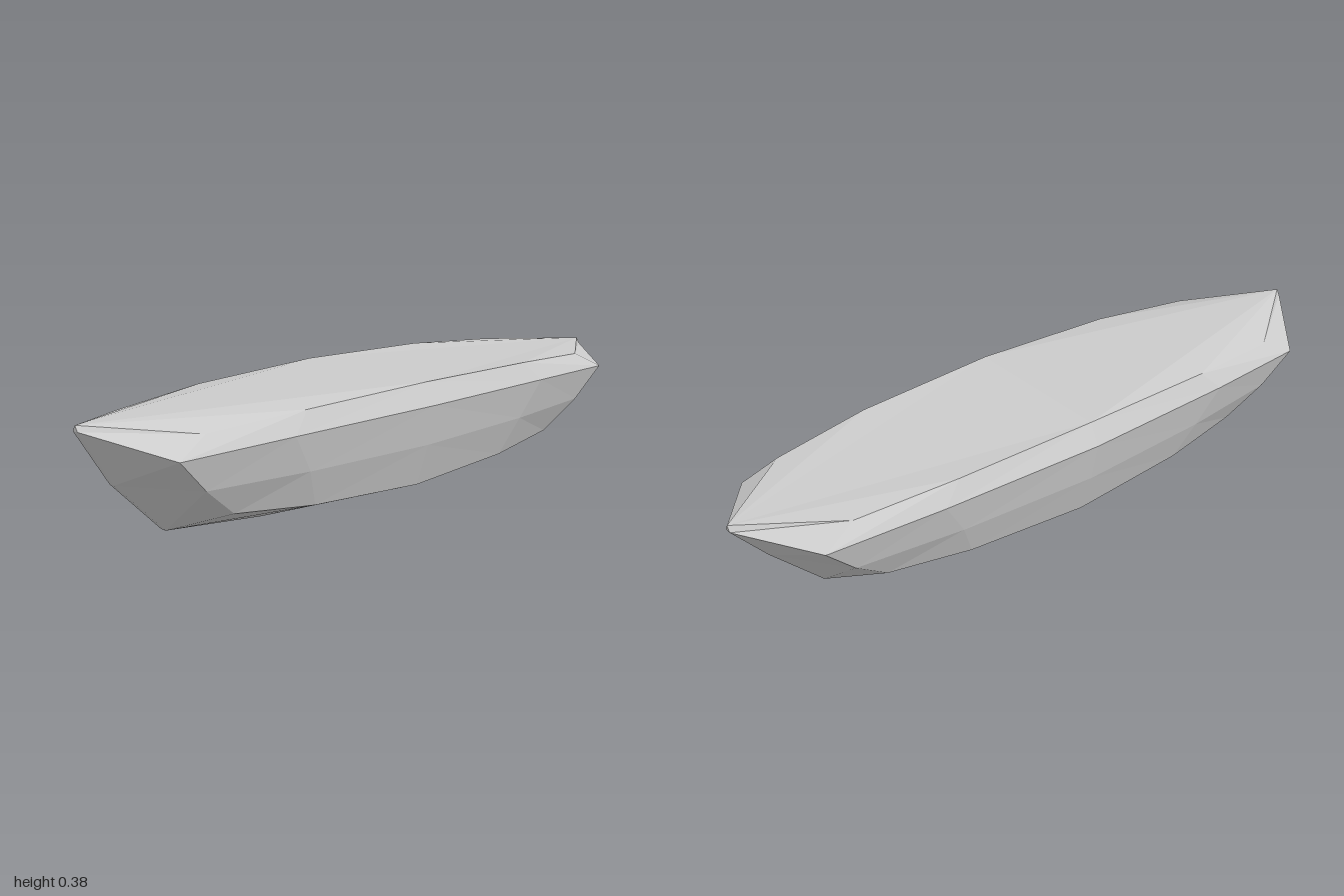
import * as THREE from 'three';

// Half-width, height and length of each longitudinal line at its end corner, quarter and middle
const lines = {
  keel: [[0.01, 0.052, 0.745], [0.01, 0.02, 0.42], [0.01, 0, 0]],
  chine: [[0.157, 0.106, 0.635], [0.188, 0.082, 0.38], [0.205, 0.066, 0]],
  side: [[0.19, 0.196, 0.75], [0.225, 0.192, 0.43], [0.247, 0.19, 0]],
  rail: [[0.21, 0.292, 0.845], [0.248, 0.303, 0.5], [0.272, 0.308, 0]],
  rim: [[0.187, 0.342, 0.745], [0.225, 0.361, 0.44], [0.241, 0.371, 0]],
};
// Where each line ends at the bow and at the stern
const tips = {
  keel: [[0.01, 0.052, 0.745], [0.01, 0.052, -0.745]],
  chine: [[0.01, 0.052, 0.745], [0.01, 0.052, -0.745]],
  side: [[0.01, 0.205, 0.9], [0.01, 0.205, -0.9]],
  rail: [[0.01, 0.36, 1], [0.01, 0.32, -1]],
  rim: [[0, 0.376, 1], [0, 0.337, -1]],
};

const flipX = ([x, y, z]) => [-x, y, z];
const flipZ = ([x, y, z]) => [x, y, -z];

// Full line from bow to stern, seven points
function fullLine(name) {
  const [end, quarter, mid] = lines[name];
  const [bow, stern] = tips[name];
  return [bow, end, quarter, mid, flipZ(quarter), flipZ(end), stern];
}

function makeMesh(name, triangles) {
  const solid = triangles.filter((t) => {
    const [a, b, c] = t.map((p) => new THREE.Vector3(...p));
    return b.sub(a).cross(c.sub(a)).length() > 1e-7;
  });
  const geometry = new THREE.BufferGeometry();
  geometry.setAttribute('position', new THREE.Float32BufferAttribute(solid.flat(2), 3));
  geometry.computeVertexNormals();
  const mesh = new THREE.Mesh(geometry,
    new THREE.MeshStandardMaterial({ color: 0xcccccc, flatShading: true }));
  mesh.name = name;
  return mesh;
}

// Band of plating between two lines, on both sides of the hull
function plating(name, lower, upper) {
  const lo = fullLine(lower), up = fullLine(upper), triangles = [];
  for (let i = 0; i < 6; i++) {
    const [a, b, d, e] = [lo[i], lo[i + 1], up[i], up[i + 1]];
    const pair = i < 3 ? [[a, b, e], [a, e, d]] : [[a, b, d], [b, e, d]];
    for (const t of pair) triangles.push(t, t.map(flipX).reverse());
  }
  return makeMesh(name, triangles);
}

// Narrow strip down the bow, along the bottom and up the stern
function keelStrip() {
  const order = ['rim', 'rail', 'side'];
  const path = [
    ...order.map((n) => tips[n][0]),
    ...fullLine('keel').slice(1, 6),
    ...order.map((n) => tips[n][1]).reverse(),
  ];
  const triangles = [];
  for (let i = 0; i < path.length - 1; i++) {
    const [p, q] = [path[i], path[i + 1]];
    triangles.push([p, flipX(p), flipX(q)], [p, flipX(q), q]);
  }
  return makeMesh('keelAndStems', triangles);
}

// Deck: one fan from the bow, one from the stern, meeting amidships
function deck() {
  const rim = fullLine('rim');
  const front = rim.slice(1, 4), back = rim.slice(3, 6);
  const triangles = [];
  const fan = (tip, loop) => {
    for (let i = 0; i < loop.length - 1; i++) triangles.push([tip, loop[i], loop[i + 1]]);
  };
  fan(rim[0], [...front, ...front.map(flipX).reverse()]);
  fan(rim[6], [...back.map(flipX).reverse(), ...back]);
  return makeMesh('deck', triangles);
}

export function createModel() {
  const model = new THREE.Group();
  model.name = 'boatHull';
  model.add(
    keelStrip(),
    plating('bottomPlating', 'keel', 'chine'),
    plating('lowerSides', 'chine', 'side'),
    plating('upperSides', 'side', 'rail'),
    plating('gunwale', 'rail', 'rim'),
    deck(),
  );
  return model;
}
